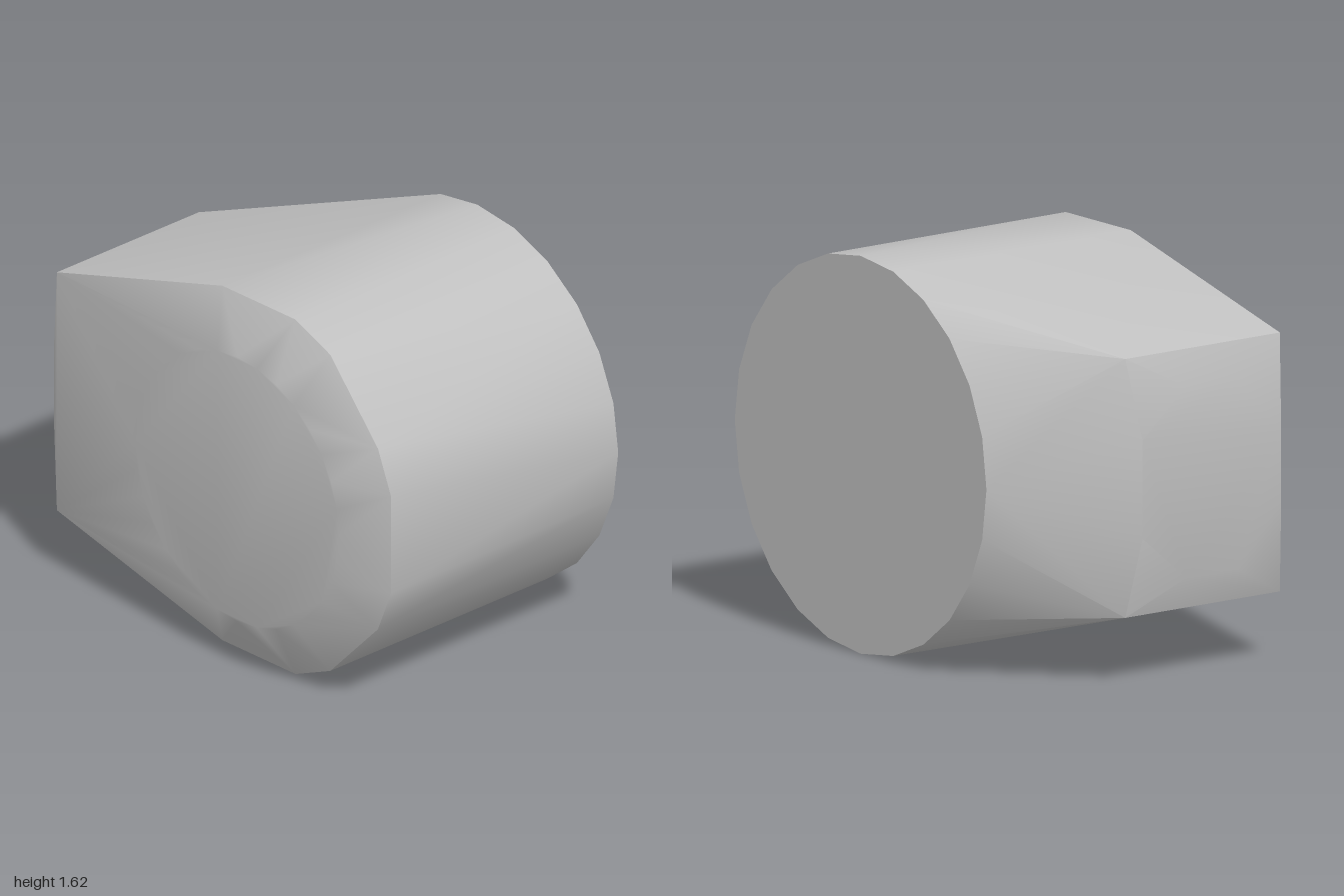
import * as THREE from 'three';
import { ConvexGeometry } from 'three/addons/geometries/ConvexGeometry.js';
import { toCreasedNormals } from 'three/addons/utils/BufferGeometryUtils.js';

const CY = 0.81; // height of the axis; the body mirrors above and below it
const CX = 0.19; // x of the axis

export function createModel() {
  const group = new THREE.Group();
  const grey = new THREE.MeshStandardMaterial({ color: 0xc0c0c0 });
  grey.name = 'plain grey';

  const points = [];
  const mirrored = (x, dy, z) => {
    points.push(new THREE.Vector3(x, CY + dy, z), new THREE.Vector3(x, CY - dy, z));
  };
  const disc = (radius, z, sides) => {
    for (let i = 0; i < sides; i++) {
      const a = (i / sides) * Math.PI * 2;
      points.push(new THREE.Vector3(CX + radius * Math.cos(a), CY + radius * Math.sin(a), z));
    }
  };

  // Large back disc and smaller front disc
  disc(0.81, -0.66, 24);
  disc(0.585, 0.66, 32);

  // Shoulder ring where the front bevel starts
  for (const [x, dy, z] of [
    [-0.02, 0.785, 0.54], [0.4, 0.785, 0.54], [0.6, 0.7, 0.54],
    [0.9, 0.4, 0.565], [0.975, 0.215, 0.565],
  ]) mirrored(x, dy, z);

  // Rectangular side end, with its shallow eight-cornered cap
  for (const [x, dy, z] of [
    [-0.94, 0.527, 0.57], [-0.94, 0.527, -0.21],
    [-1, 0.14, 0.53], [-1, 0.39, 0.31], [-1, 0.39, 0.05], [-1, 0.2, -0.17],
  ]) mirrored(x, dy, z);

  // Convex skin around the sections
  const body = new THREE.Mesh(toCreasedNormals(new ConvexGeometry(points), 0.6), grey);
  body.name = 'body';
  group.add(body);
  return group;
}
